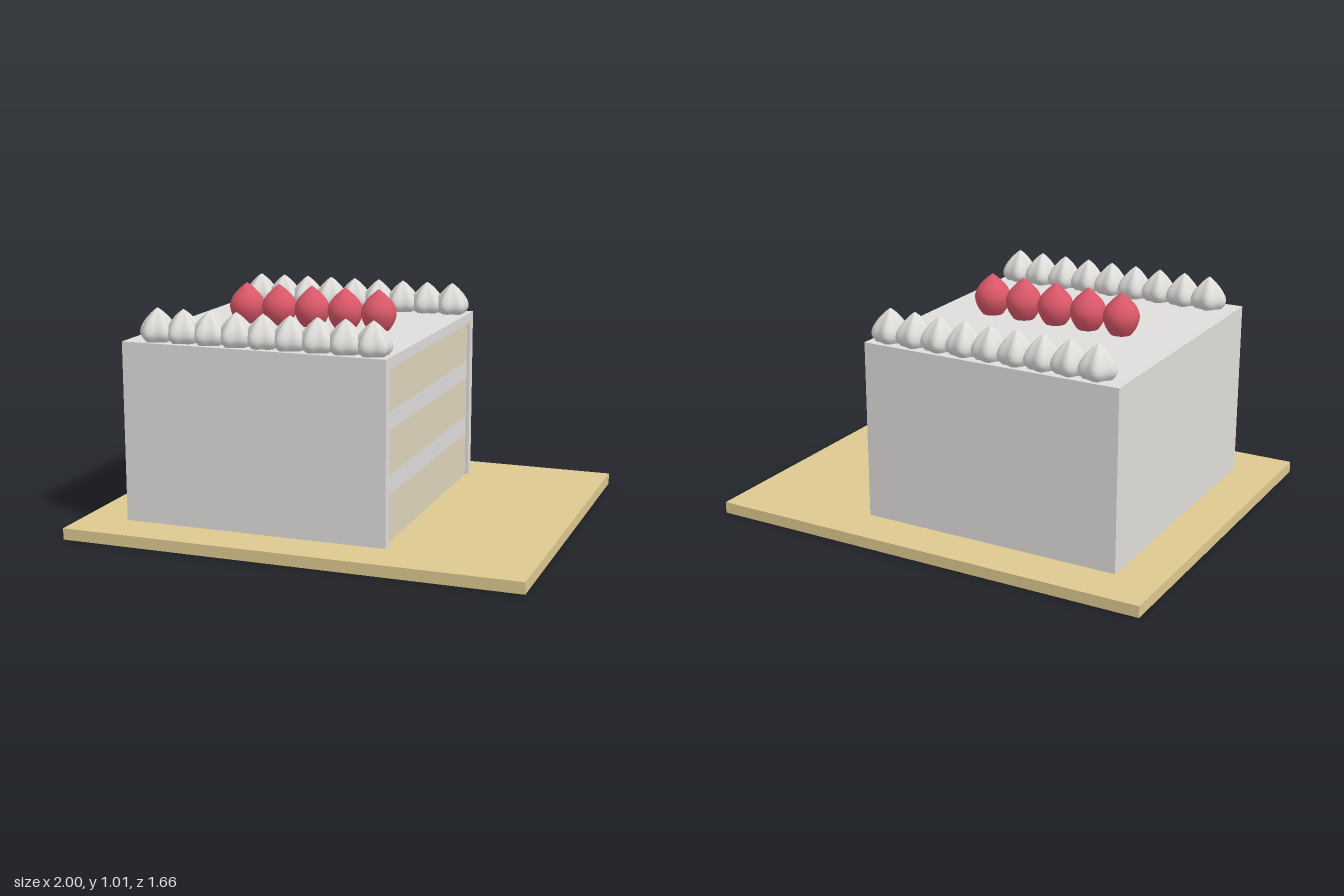
import * as THREE from 'three';

const material = (name, color) => {
  const m = new THREE.MeshStandardMaterial({ color });
  m.name = name;
  return m;
};

export function createModel() {
  const cake = new THREE.Group();
  cake.name = 'cake';
  const gold = material('board gold', 0xdec890);
  const cream = material('cream', 0xe0dedb);
  const sponge = material('sponge', 0xdfd5bb);
  const red = material('berry red', 0xd95768);

  const add = (name, geometry, mat, x = 0, y = 0, z = 0) => {
    const mesh = new THREE.Mesh(geometry, mat);
    mesh.name = name;
    mesh.position.set(x, y, z);
    cake.add(mesh);
    return mesh;
  };
  // Box given by its limits on each axis
  const block = (name, mat, x0, x1, y0, y1, z0, z1) =>
    add(name, new THREE.BoxGeometry(x1 - x0, y1 - y0, z1 - z0), mat,
      (x0 + x1) / 2, (y0 + y1) / 2, (z0 + z1) / 2);

  block('board', gold, -1, 1, 0, 0.05, -0.83, 0.83);

  // Frosting coat: back, sides and top, open at the cut face
  const cut = 0.355, lip = 0.37, inner = 0.585;
  block('backFrosting', cream, -0.8, -0.755, 0.05, 0.785, -inner, inner);
  block('topFrosting', cream, -0.8, lip, 0.785, 0.83, -0.63, 0.63);
  for (const s of [-1, 1]) {
    block('sideFrosting', cream, -0.8, lip, 0.05, 0.785,
      s > 0 ? inner : -0.63, s > 0 ? 0.63 : -inner);
  }

  // Alternating sponge and cream layers, slightly set back
  const levels = [0.05, 0.25, 0.335, 0.52, 0.6, 0.785];
  for (let i = 0; i < 5; i++) {
    const isSponge = i % 2 === 0;
    block(isSponge ? 'spongeLayer' : 'creamLayer', isSponge ? sponge : cream,
      -0.755, cut, levels[i], levels[i + 1], -inner, inner);
  }

  // Smooth turned shape from radius and height pairs
  const turned = (pairs, segments) => {
    const curve = new THREE.SplineCurve(pairs.map(([r, y]) => new THREE.Vector2(r, y)));
    const points = curve.getPoints(18);
    points.forEach((p) => { p.x = Math.max(p.x, 0); });
    return new THREE.LatheGeometry(points, segments);
  };

  // Piped dollop: turned shape with five soft lobes that fade at the tip
  const dollop = turned([[0.058, 0], [0.073, 0.025], [0.07, 0.055], [0.05, 0.09],
    [0.022, 0.122], [0, 0.14]], 40);
  const pos = dollop.attributes.position;
  for (let i = 0; i < pos.count; i++) {
    const x = pos.getX(i), z = pos.getZ(i);
    const k = 1 + 0.1 * Math.cos(5 * (Math.atan2(z, x) - Math.PI));
    pos.setX(i, x * k);
    pos.setZ(i, z * k);
  }
  dollop.computeVertexNormals();
  for (const z of [-0.55, 0.55]) {
    for (let i = 0; i < 9; i++) add('creamDollop', dollop, cream, -0.67 + i * 0.12, 0.83, z);
  }

  // Row of pointed berries along the middle
  const berry = turned([[0.046, 0], [0.068, 0.035], [0.078, 0.075], [0.066, 0.115],
    [0.034, 0.152], [0, 0.18]], 28);
  for (let i = 0; i < 5; i++) add('berry', berry, red, -0.503 + i * 0.156, 0.83, 0);

  return cake;
}
